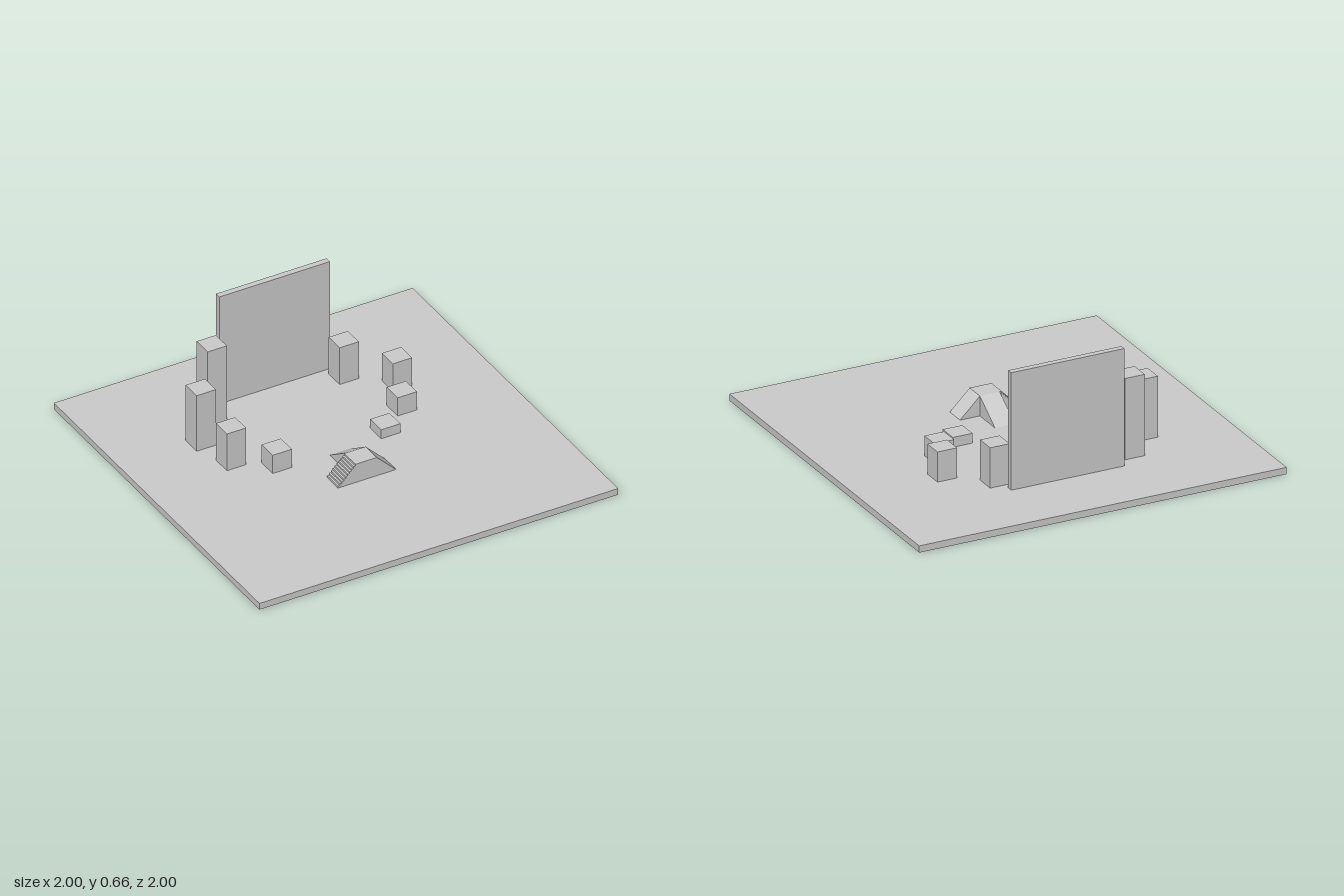
import * as THREE from 'three';

const material = new THREE.MeshStandardMaterial({ color: 0xcccccc, flatShading: true });
const FLOOR = 0.036; // top of the ground slab

export function createModel() {
  const model = new THREE.Group();

  const add = (name, geometry, parent = model) => {
    const mesh = new THREE.Mesh(geometry, material);
    mesh.name = name;
    parent.add(mesh);
    return mesh;
  };

  // Box given by its centre on the ground plane and its bottom and top heights
  const block = (name, x, z, width, depth, bottom, top, parent) =>
    add(name, new THREE.BoxGeometry(width, top - bottom, depth), parent)
      .position.set(x, (bottom + top) / 2, z);

  // Ground slab and back wall
  block('ground', 0, 0, 2, 2, 0, FLOOR);
  block('backWall', -0.002, -0.61, 0.616, 0.032, FLOOR, 0.66);

  // Ring of pillars: x, z, top height
  const pillars = new THREE.Group();
  pillars.name = 'pillars';
  model.add(pillars);
  [
    [-0.4, -0.51, 0.468], [-0.555, -0.347, 0.36], [-0.512, -0.128, 0.25], [-0.332, 0.003, 0.142],
    [0.332, -0.504, 0.25], [0.526, -0.325, 0.196], [0.44, -0.128, 0.142], [0.273, 0.003, 0.088],
  ].forEach(([x, z, top], i) =>
    block('pillar' + (i + 1), x, z, 0.107, 0.107, FLOOR, top, pillars));

  // Platform with steps on one side, a short ramp on the other and a long ramp behind
  const platform = new THREE.Group();
  platform.name = 'platform';
  model.add(platform);
  const left = -0.066, right = 0.042, back = 0.215, front = 0.323, top = 0.142;
  const depth = front - back;

  const extrude = (points, length) => new THREE.ExtrudeGeometry(
    new THREE.Shape(points.map(([x, y]) => new THREE.Vector2(x, y))),
    { depth: length, bevelEnabled: false });

  block('platformBlock', (left + right) / 2, (back + front) / 2, right - left, depth, FLOOR, top, platform);

  const steps = 10, run = 0.108 / steps, rise = (top - FLOOR) / steps;
  const stairs = [[left, FLOOR], [left, top]];
  for (let i = steps; i > 0; i--) {
    const x = left - (steps - i + 1) * run;
    stairs.push([x, FLOOR + i * rise], [x, FLOOR + (i - 1) * rise]);
  }
  add('stairs', extrude(stairs, depth), platform).position.z = back;

  add('sideRamp', extrude([[right, FLOOR], [0.15, FLOOR], [right, top]], depth), platform)
    .position.z = back;

  // Profile runs along -z, extruded across the platform's width
  const backRamp = add('backRamp',
    extrude([[0, FLOOR], [0.16, FLOOR], [0, top]], right - left), platform);
  backRamp.rotation.y = Math.PI / 2;
  backRamp.position.set(left, 0, back);

  return model;
}
